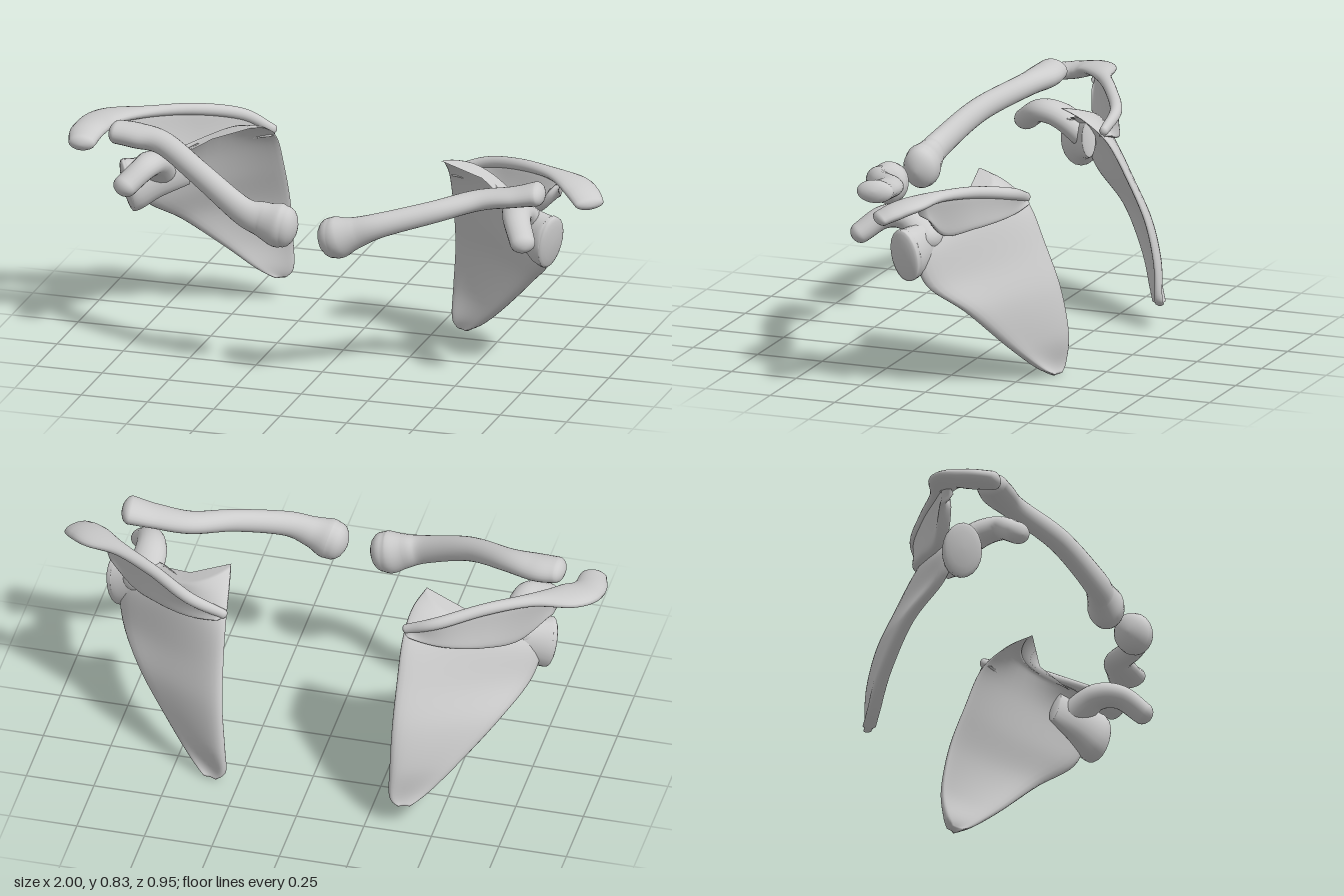
import * as THREE from 'three';
import { mergeVertices } from 'three/addons/utils/BufferGeometryUtils.js';

const V = (p) => new THREE.Vector3(p[0], p[1], p[2]);
const spline = (pts) => new THREE.CatmullRomCurve3(pts, false, 'catmullrom', 0.5);

// Skin a list of closed rings, close both ends, and turn the faces outward
function loft(rings) {
  const n = rings[0].length, pos = [], idx = [];
  rings.forEach((r) => r.forEach((p) => pos.push(p.x, p.y, p.z)));
  for (let i = 0; i < rings.length - 1; i++) {
    for (let j = 0; j < n; j++) {
      const a = i * n + j, b = i * n + (j + 1) % n;
      idx.push(a, b, a + n, b, b + n, a + n);
    }
  }
  [0, rings.length - 1].forEach((i) => {
    const c = new THREE.Vector3();
    rings[i].forEach((p) => c.addScaledVector(p, 1 / n));
    const k = pos.length / 3;
    pos.push(c.x, c.y, c.z);
    for (let j = 0; j < n; j++) {
      const a = i * n + j, b = i * n + (j + 1) % n;
      if (i === 0) idx.push(k, b, a); else idx.push(k, a, b);
    }
  });
  let volume = 0;
  const at = (i) => new THREE.Vector3().fromArray(pos, i * 3);
  for (let i = 0; i < idx.length; i += 3) {
    volume += at(idx[i]).dot(at(idx[i + 1]).cross(at(idx[i + 2])));
  }
  if (volume < 0) idx.reverse();
  let g = new THREE.BufferGeometry();
  g.setAttribute('position', new THREE.Float32BufferAttribute(pos, 3));
  g.setIndex(idx);
  g = mergeVertices(g, 1e-5);
  g.computeVertexNormals();
  return g;
}

// Rounded limb through [x, y, z, half width, half height] points
function limb(points, cap = 0.9, steps = 40, sides = 20) {
  const path = spline(points.map(V));
  const size = spline(points.map((p) => new THREE.Vector3(p[3], p[4], 0)));
  const rings = [];
  const ring = (t, shrink, shift) => {
    const c = path.getPoint(t), s = size.getPoint(t), d = path.getTangent(t);
    const side = new THREE.Vector3().crossVectors(d, new THREE.Vector3(0, 1, 0)).normalize();
    const up = new THREE.Vector3().crossVectors(side, d);
    c.addScaledVector(d, shift * Math.min(s.x, s.y) * cap);
    rings.push(Array.from({ length: sides }, (_, j) => {
      const a = (j / sides) * Math.PI * 2;
      return c.clone().addScaledVector(side, Math.cos(a) * s.x * shrink)
        .addScaledVector(up, Math.sin(a) * s.y * shrink);
    }));
  };
  const caps = [0.1, 0.35, 0.7, 1.05, 1.35];
  caps.forEach((a) => ring(0, Math.sin(a), -Math.cos(a)));
  for (let i = 0; i <= steps; i++) ring(i / steps, 1, 0);
  caps.slice().reverse().forEach((a) => ring(1, Math.sin(a), Math.cos(a)));
  return loft(rings);
}

// Thin bone sheet between two edge curves; sag bows it backward, thick(u) is half thickness
function sheet(edgeA, edgeB, sag, thick, normalOf, steps = 44, across = 16) {
  const A = spline(edgeA.map(V)), B = spline(edgeB.map(V));
  const S = spline(sag.map((s) => new THREE.Vector3(s, 0, 0)));
  const rings = [];
  for (let i = 0; i <= steps; i++) {
    const t = i / steps, a = A.getPoint(t), b = B.getPoint(t), s = S.getPoint(t).x;
    const nrm = normalOf(a, b, A.getTangent(t));
    const end = i === 0 || i === steps ? 0.4 : 1;
    const point = (u, sign) => {
      const round = Math.sqrt(Math.max(0, 1 - Math.pow(Math.abs(2 * u - 1), 8)));
      return a.clone().lerp(b, u).addScaledVector(nrm,
        s * Math.sin(Math.PI * Math.pow(u, 0.7)) + sign * thick(u) * end * (0.15 + 0.85 * round));
    };
    const loop = [];
    for (let j = 0; j <= across; j++) loop.push(point((1 - Math.cos(Math.PI * j / across)) / 2, 1));
    for (let j = across; j >= 0; j--) loop.push(point((1 - Math.cos(Math.PI * j / across)) / 2, -1));
    rings.push(loop);
  }
  return loft(rings);
}

// Both sides are given with x pointing outward
const RIGHT = {
  sign: -1,
  clavicle: [[0.105, 0.58, 0.365, 0.062, 0.077], [0.135, 0.585, 0.365, 0.066, 0.082], [0.19, 0.6, 0.365, 0.052, 0.066], [0.27, 0.625, 0.36, 0.044, 0.052],
    [0.45, 0.715, 0.28, 0.042, 0.045], [0.62, 0.775, 0.17, 0.046, 0.042], [0.73, 0.785, 0.14, 0.062, 0.044], [0.805, 0.79, 0.135, 0.058, 0.042]],
  medial: [[0.365, 0.085, -0.46], [0.335, 0.125, -0.465], [0.335, 0.25, -0.455], [0.335, 0.4, -0.42], [0.335, 0.55, -0.35],
    [0.335, 0.68, -0.27], [0.345, 0.75, -0.17], [0.375, 0.78, -0.07]],
  lateral: [[0.395, 0.085, -0.445], [0.46, 0.13, -0.405], [0.56, 0.23, -0.33], [0.68, 0.36, -0.21], [0.765, 0.46, -0.07],
    [0.78, 0.57, -0.01], [0.7, 0.65, 0.01], [0.64, 0.66, 0]],
  sag: [0, 0, 0.015, 0.02, 0.025, 0.035, 0.07, 0.1],
  spineBase: [[0.34, 0.7, -0.255], [0.48, 0.66, -0.23], [0.6, 0.63, -0.17], [0.72, 0.63, -0.08], [0.85, 0.775, -0.02]],
  crest: [[0.345, 0.72, -0.25, 0.016, 0.018], [0.46, 0.765, -0.25, 0.022, 0.022], [0.61, 0.795, -0.17, 0.022, 0.022],
    [0.76, 0.8, -0.08, 0.03, 0.02], [0.89, 0.79, -0.005, 0.07, 0.024], [0.935, 0.765, 0.08, 0.064, 0.03], [0.93, 0.75, 0.175, 0.05, 0.03]],
  neck: [[0.62, 0.6, -0.08, 0.025, 0.065], [0.72, 0.575, -0.02, 0.05, 0.08], [0.785, 0.555, 0.015, 0.072, 0.098], [0.805, 0.55, 0.025, 0.07, 0.1]],
  coracoid: [[0.71, 0.6, -0.02, 0.07, 0.05], [0.7, 0.655, 0.06, 0.062, 0.046], [0.705, 0.665, 0.14, 0.05, 0.042], [0.755, 0.615, 0.215, 0.048, 0.04]],
};
const LEFT = {
  sign: 1,
  clavicle: [[0.085, 0.57, 0.4, 0.066, 0.074], [0.115, 0.578, 0.402, 0.068, 0.076], [0.17, 0.598, 0.398, 0.052, 0.058], [0.26, 0.63, 0.38, 0.044, 0.045],
    [0.43, 0.67, 0.3, 0.042, 0.04], [0.57, 0.7, 0.21, 0.05, 0.037], [0.7, 0.72, 0.19, 0.06, 0.036], [0.785, 0.738, 0.18, 0.068, 0.042]],
  medial: [[0.33, 0, -0.35], [0.3, 0.04, -0.36], [0.3, 0.15, -0.37], [0.315, 0.32, -0.345], [0.325, 0.48, -0.29],
    [0.33, 0.62, -0.23], [0.34, 0.7, -0.14], [0.355, 0.74, -0.05]],
  lateral: [[0.365, 0, -0.335], [0.43, 0.045, -0.295], [0.53, 0.14, -0.225], [0.67, 0.29, -0.125], [0.76, 0.4, -0.01],
    [0.77, 0.53, 0.03], [0.69, 0.62, 0.04], [0.63, 0.63, 0.015]],
  sag: [0, 0, 0.015, 0.02, 0.025, 0.035, 0.07, 0.1],
  spineBase: [[0.34, 0.63, -0.225], [0.48, 0.605, -0.19], [0.6, 0.585, -0.12], [0.71, 0.585, -0.04], [0.83, 0.725, -0.01]],
  crest: [[0.34, 0.645, -0.225, 0.016, 0.018], [0.47, 0.69, -0.22, 0.022, 0.022], [0.62, 0.725, -0.14, 0.022, 0.022],
    [0.76, 0.737, -0.06, 0.03, 0.02], [0.865, 0.728, 0.0, 0.06, 0.024], [0.92, 0.71, 0.05, 0.062, 0.027], [0.955, 0.69, 0.09, 0.056, 0.024]],
  neck: [[0.62, 0.575, -0.04, 0.025, 0.065], [0.71, 0.545, 0.015, 0.05, 0.08], [0.775, 0.52, 0.05, 0.068, 0.098], [0.8, 0.515, 0.06, 0.066, 0.1]],
  coracoid: [[0.7, 0.565, 0.0, 0.07, 0.05], [0.69, 0.625, 0.09, 0.06, 0.046], [0.71, 0.625, 0.175, 0.05, 0.042], [0.755, 0.57, 0.25, 0.046, 0.038]],
};

export function createModel() {
  const bone = new THREE.MeshStandardMaterial({ color: 0xcccccc });
  bone.name = 'bone';
  const model = new THREE.Group();
  model.name = 'shoulderGirdle';

  for (const s of [RIGHT, LEFT]) {
    const side = s.sign < 0 ? 'right' : 'left';
    const out = (pts) => pts.map((p) => [p[0] * s.sign, ...p.slice(1)]);
    const scapula = new THREE.Group();
    scapula.name = side + 'Scapula';
    const add = (parent, name, geometry) => {
      const m = new THREE.Mesh(geometry, bone);
      m.name = name;
      parent.add(m);
    };

    // Collarbone
    add(model, side + 'Clavicle', limb(out(s.clavicle), 0.75, 56, 24));

    // Shoulder blade: bowed plate with a thick outer border
    const backward = (a, b) => new THREE.Vector3(s.sign * (b.z - a.z), 0, -Math.abs(b.x - a.x)).normalize();
    add(scapula, 'blade', sheet(out(s.medial), out(s.lateral), s.sag,
      (u) => 0.013 + 0.018 * u * u * u + 0.006 * Math.pow(1 - u, 6), backward));

    // Ridge across the back, ending in the flat acromion
    const acrossRidge = (a, b, t) => new THREE.Vector3().subVectors(b, a).cross(t).normalize();
    add(scapula, 'spineRidge', sheet(out(s.spineBase), out(s.crest.slice(0, 5)), [0, 0],
      (u) => 0.012 + 0.018 * (1 - u) * (1 - u), acrossRidge));
    add(scapula, 'acromion', limb(out(s.crest)));

    // Socket and the hook in front of it
    add(scapula, 'neckAndSocket', limb(out(s.neck), 0.25));
    add(scapula, 'coracoid', limb(out(s.coracoid)));
    model.add(scapula);
  }
  return model;
}
